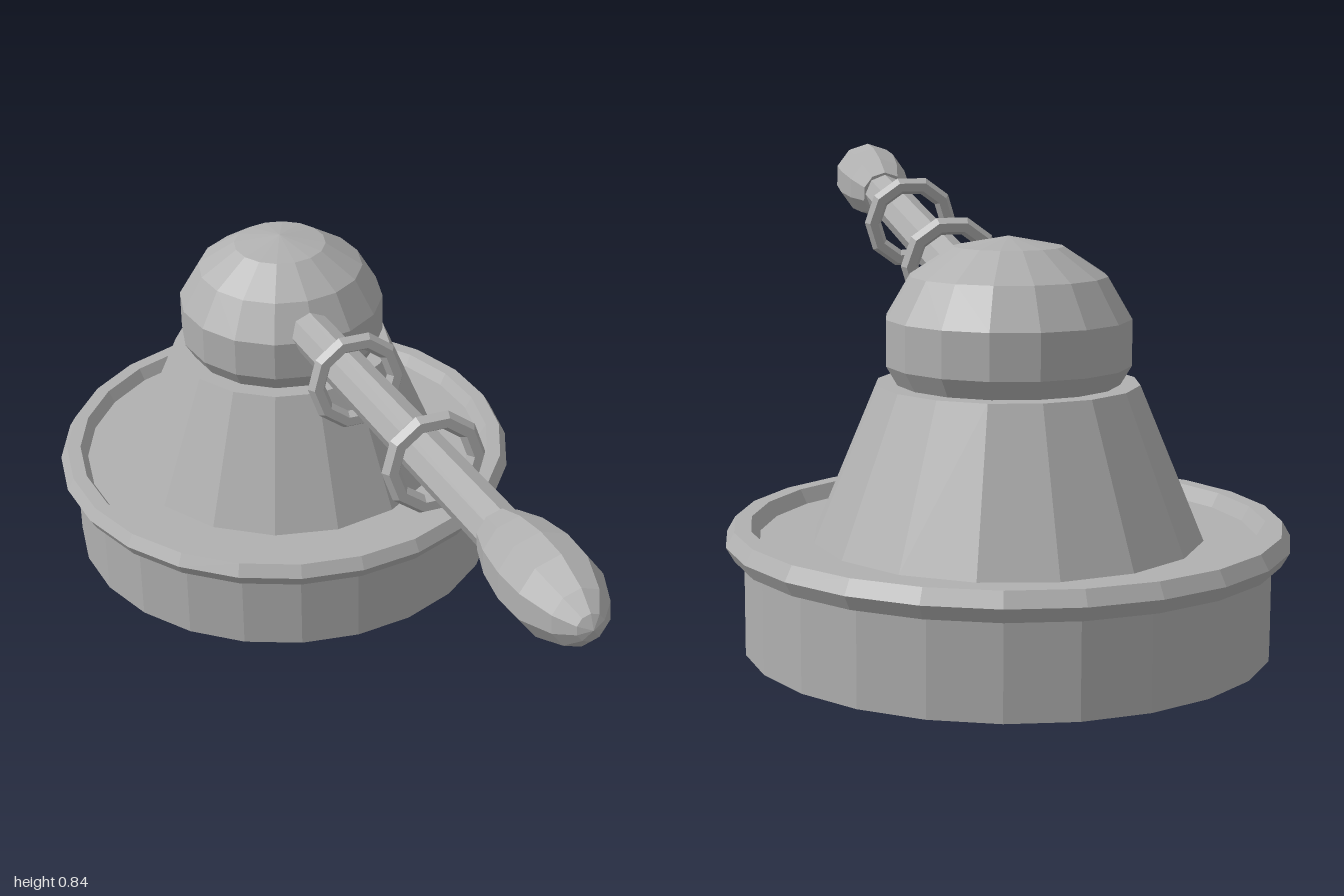
import * as THREE from 'three';

export function createModel() {
  const model = new THREE.Group();
  const grey = new THREE.MeshStandardMaterial({ color: 0xb0b0b0, flatShading: true });
  grey.name = 'grey metal';

  const add = (parent, name, geometry, y) => {
    const mesh = new THREE.Mesh(geometry, grey);
    mesh.name = name;
    mesh.position.y = y;
    parent.add(mesh);
    return mesh;
  };
  const ring = (radius, tube, sides) =>
    new THREE.TorusGeometry(radius, tube, 6, sides).rotateX(Math.PI / 2);

  // Round stand: drum, raised rim, tapered body and dome
  const stand = new THREE.Group();
  stand.name = 'stand';
  stand.position.z = -0.495;
  model.add(stand);
  add(stand, 'baseDrum', new THREE.CylinderGeometry(0.473, 0.473, 0.195, 24), 0.0975);
  add(stand, 'baseRim', ring(0.475, 0.03, 24), 0.195);
  add(stand, 'taperedBody', new THREE.CylinderGeometry(0.235, 0.35, 0.275, 16), 0.3325);
  add(stand, 'dome', new THREE.SphereGeometry(0.225, 16, 7).scale(1, 0.82, 1), 0.545);

  // Lever: built along its own y axis, then tilted forward and slightly up
  const lever = new THREE.Group();
  lever.name = 'lever';
  lever.position.set(0, 0.567, -0.5);
  lever.rotation.x = Math.PI / 2 - 0.138;
  model.add(lever);
  add(lever, 'leverRod', new THREE.CylinderGeometry(0.045, 0.045, 1.2, 8), 0.6);
  for (const y of [0.47, 0.87]) add(lever, 'leverRing', ring(0.083, 0.018, 10), y);

  // Bulbous grip at the end of the lever
  const gripProfile = [
    [0, 0], [0.05, 0], [0.07, 0.07], [0.08, 0.15],
    [0.077, 0.225], [0.053, 0.295], [0.025, 0.328], [0, 0.338],
  ].map(([r, y]) => new THREE.Vector2(r, y));
  add(lever, 'leverGrip', new THREE.LatheGeometry(gripProfile, 10), 1.172);

  return model;
}
